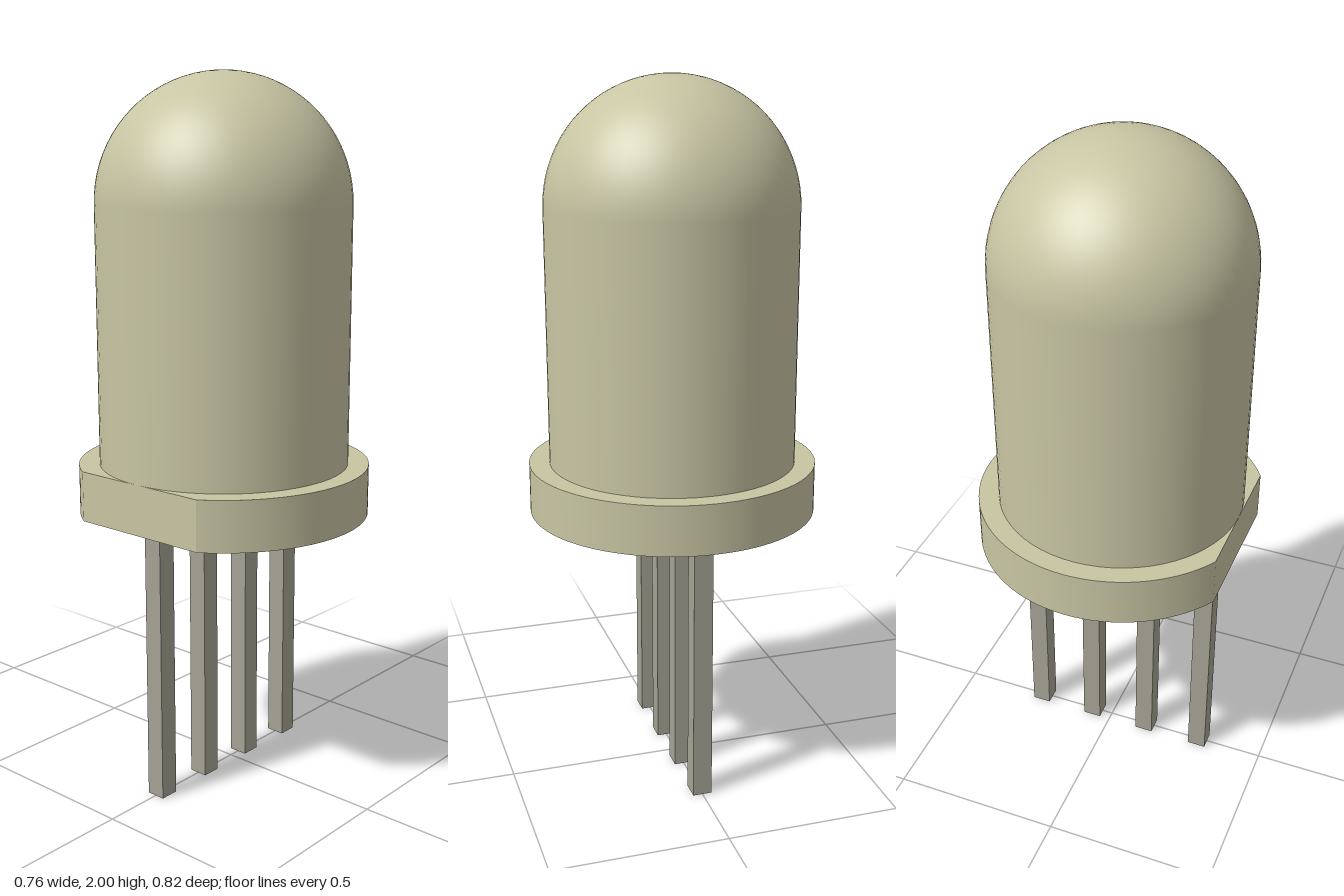
import * as THREE from 'three';
import { toCreasedNormals } from 'three/addons/utils/BufferGeometryUtils.js';

const AXIS_X = -0.03, BODY_R = 0.352, RIM_R = 0.41;
const RIM_BOTTOM = 0.785, RIM_TOP = 0.927, DOME_BASE = 1.648;

export function createModel() {
  const model = new THREE.Group();
  const lensMaterial = new THREE.MeshStandardMaterial({ color: 0xc8c5a3 });
  const leadMaterial = new THREE.MeshStandardMaterial({ color: 0xa5a394 });

  const add = (name, geometry, material, x, y) => {
    const mesh = new THREE.Mesh(geometry, material);
    mesh.name = name;
    mesh.position.set(x, y, 0);
    model.add(mesh);
  };

  // Lens: straight barrel running into a hemispherical dome
  const profile = [new THREE.Vector2(BODY_R, RIM_TOP)];
  const steps = 20;
  for (let i = 0; i <= steps; i++) {
    const a = (i / steps) * Math.PI / 2;
    profile.push(new THREE.Vector2(
      i === steps ? 0 : BODY_R * Math.cos(a), DOME_BASE + BODY_R * Math.sin(a)));
  }
  add('lens', new THREE.LatheGeometry(profile, 64), lensMaterial, AXIS_X, 0);

  // Base rim: disc with one flat cut level with the barrel on the -x side
  const cut = Math.acos(-BODY_R / RIM_R);
  const outline = new THREE.Shape();
  outline.absarc(0, 0, RIM_R, -cut, cut, false);
  outline.closePath();
  const rim = new THREE.ExtrudeGeometry(outline, {
    depth: RIM_TOP - RIM_BOTTOM, bevelEnabled: false, curveSegments: 56,
  });
  rim.rotateX(-Math.PI / 2);
  add('baseRim', toCreasedNormals(rim, 0.35), lensMaterial, AXIS_X, RIM_BOTTOM);

  // Four square leads in a row
  for (let i = 0; i < 4; i++) {
    add('lead' + (i + 1), new THREE.BoxGeometry(0.055, RIM_BOTTOM, 0.055),
      leadMaterial, AXIS_X + (i - 1.5) * 0.18, RIM_BOTTOM / 2);
  }
  return model;
}
